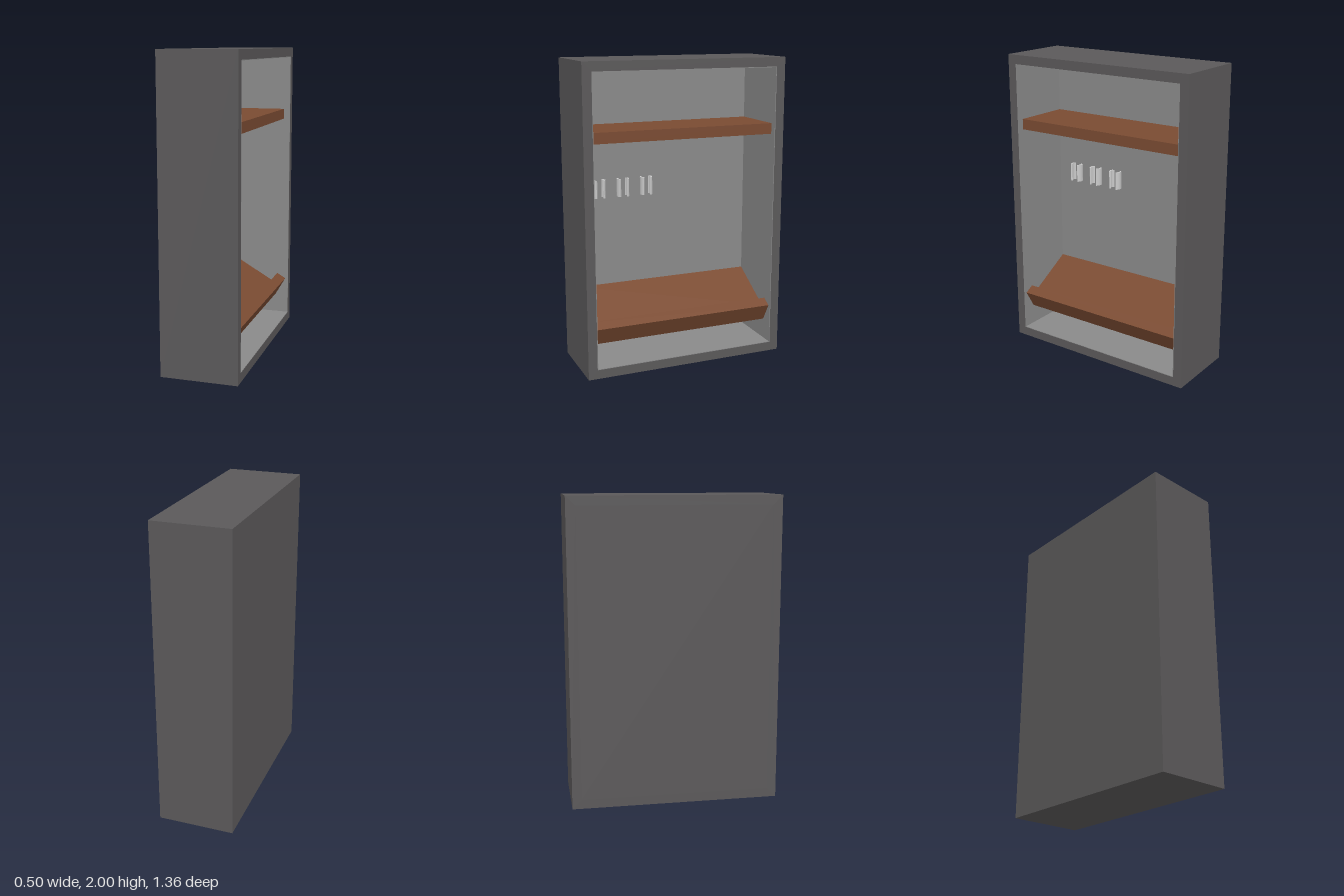
import * as THREE from 'three';

const mat = (color) => new THREE.MeshStandardMaterial({ color });

export function createModel() {
  const model = new THREE.Group();
  model.name = 'wallCabinet';
  const shell = mat(0x5b595a), lining = mat(0x8a8a8a), wood = mat(0x7a4b32), metal = mat(0xcccccc);

  const add = (name, geometry, material, x, y, z, parent = model) => {
    const mesh = new THREE.Mesh(geometry, material);
    mesh.name = name;
    mesh.position.set(x, y, z);
    parent.add(mesh);
    return mesh;
  };
  const box = (name, material, w, h, d, x, y, z, parent) =>
    add(name, new THREE.BoxGeometry(w, h, d), material, x, y, z, parent);

  const W = 0.5, H = 2, D = 1.36, T = 0.06; // outer size and wall thickness
  const innerH = H - 2 * T, innerD = D - 2 * T;
  const backX = -W / 2 + T; // inner face of the back wall

  // Case: a frame extruded across the depth, open towards +x, closed by a back panel
  const outline = new THREE.Shape([
    new THREE.Vector2(-D / 2, 0), new THREE.Vector2(D / 2, 0),
    new THREE.Vector2(D / 2, H), new THREE.Vector2(-D / 2, H),
  ]);
  outline.holes.push(new THREE.Path([
    new THREE.Vector2(-innerD / 2, T), new THREE.Vector2(-innerD / 2, H - T),
    new THREE.Vector2(innerD / 2, H - T), new THREE.Vector2(innerD / 2, T),
  ]));
  const frame = new THREE.ExtrudeGeometry(outline, { depth: W, bevelEnabled: false });
  frame.rotateY(Math.PI / 2);
  add('caseFrame', frame, shell, -W / 2, 0, 0);
  box('backPanel', shell, T, innerH, innerD, -W / 2 + T / 2, H / 2, 0);

  // Thin pale lining on the five inner faces
  const t = 0.004, lineW = W - T, lineX = T / 2;
  box('backLining', lining, t, innerH, innerD, backX + t / 2, H / 2, 0);
  for (const s of [-1, 1]) {
    box('sideLining', lining, lineW, innerH, t, lineX, H / 2, s * (innerD - t) / 2);
    box(s > 0 ? 'topLining' : 'floorLining', lining, lineW, t, innerD, lineX, H / 2 + s * (innerH - t) / 2, 0);
  }

  // Upper level shelf
  const board = 0.07, shelfD = innerD - 2 * t;
  box('upperShelf', wood, 0.395, board, shelfD, backX + 0.1975, 1.536, 0);

  // Lower shelf tilted down to the opening, with a raised lip at its edge
  const rack = new THREE.Group();
  rack.name = 'tiltedShelf';
  rack.position.set(0.16, 0.2, 0); // bottom front edge of the lip
  rack.rotation.z = -Math.PI / 6;
  const run = 0.375;
  box('shelfBoard', wood, run, board, shelfD, -board - run / 2, board / 2, 0, rack);
  box('shelfLip', wood, board, board * 2, shelfD, -board / 2, board, 0, rack);
  model.add(rack);

  // Three C-shaped clips on the back wall, gaps facing the opening
  const gap = 0.7, outer = 0.042, inner = 0.031;
  const ring = new THREE.Shape();
  ring.absarc(0, 0, outer, gap, Math.PI * 2 - gap, false);
  ring.absarc(0, 0, inner, Math.PI * 2 - gap, gap, true);
  const clip = new THREE.ExtrudeGeometry(ring, { depth: 0.12, bevelEnabled: false, curveSegments: 12 });
  clip.rotateX(-Math.PI / 2);
  for (const z of [0.455, 0.29, 0.125]) add('clip', clip, metal, -0.165, 1.085, z);

  return model;
}
